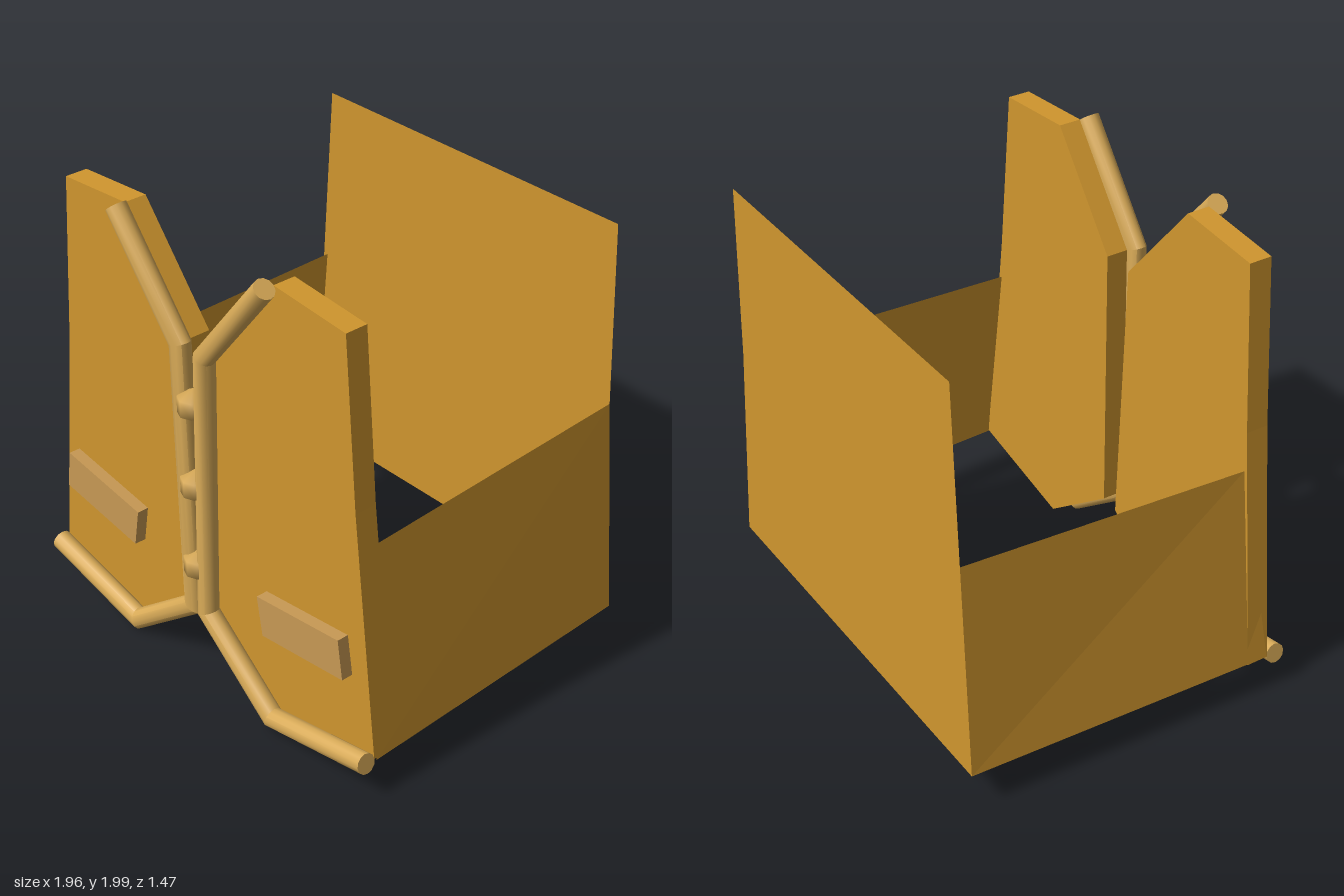
import * as THREE from 'three';
import { toCreasedNormals } from 'three/addons/utils/BufferGeometryUtils.js';

const cloth = new THREE.MeshStandardMaterial({ color: 0xd0962e, side: THREE.DoubleSide });
cloth.name = 'ochre cloth';
const trim = new THREE.MeshStandardMaterial({ color: 0xd8aa57 });
trim.name = 'pale gold trim';
const flap = new THREE.MeshStandardMaterial({ color: 0xc89954 });
flap.name = 'dusty tan flap';

function part(name, geometry, material) {
  const mesh = new THREE.Mesh(geometry, material);
  mesh.name = name;
  return mesh;
}

// Outline in x/y, extruded from z0 to z1
function slab(points, z0, z1) {
  const shape = new THREE.Shape(points.map(([x, y]) => new THREE.Vector2(x, y)));
  return new THREE.ExtrudeGeometry(shape, { depth: z1 - z0, bevelEnabled: false }).translate(0, 0, z0);
}

// Thin flat sheet as a fan of its corners
function sheet(corners) {
  const pos = [];
  for (let i = 1; i < corners.length - 1; i++) pos.push(...corners[0], ...corners[i], ...corners[i + 1]);
  const g = new THREE.BufferGeometry();
  g.setAttribute('position', new THREE.Float32BufferAttribute(pos, 3));
  g.computeVertexNormals();
  return g;
}

// Round cord with mitred corners along a path in the x/y plane
function cord(path, z, r, sides = 12) {
  const pts = path.map(([x, y]) => new THREE.Vector2(x, y));
  const n = pts.length, pos = [], idx = [];
  pts.forEach((p, i) => {
    const a = p.clone().sub(pts[Math.max(i - 1, 0)]).normalize();
    const b = pts[Math.min(i + 1, n - 1)].clone().sub(p).normalize();
    const dir = a.clone().add(b).normalize();
    const mitre = 1 / Math.max(dir.dot(i < n - 1 ? b : a), 0.5);
    for (let k = 0; k < sides; k++) {
      const t = (k / sides) * Math.PI * 2, c = Math.cos(t) * r * mitre;
      pos.push(p.x - dir.y * c, p.y + dir.x * c, z + Math.sin(t) * r);
    }
  });
  for (let i = 0; i < n - 1; i++) {
    for (let k = 0; k < sides; k++) {
      const a = i * sides + k, b = i * sides + (k + 1) % sides;
      idx.push(a, b, a + sides, b, b + sides, a + sides);
    }
  }
  // End caps
  const last = (n - 1) * sides;
  for (let k = 1; k < sides - 1; k++) idx.push(0, k + 1, k, last, last + k, last + k + 1);
  const g = new THREE.BufferGeometry();
  g.setAttribute('position', new THREE.Float32BufferAttribute(pos, 3));
  g.setIndex(idx);
  return toCreasedNormals(g, 0.6);
}

export function createModel() {
  const model = new THREE.Group();
  model.name = 'waistcoat';

  // Front edges differ slightly from side to side
  const edges = {
    left: [[0.425, 1.97], [0.075, 1.54], [0.045, 0.36], [0.43, 0.06], [0.97, 0.175]],
    right: [[-0.425, 1.97], [-0.068, 1.54], [-0.038, 0.35], [-0.425, 0.052], [-0.97, 0.165]],
  };

  for (const [side, s] of [['left', 1], ['right', -1]]) {
    const mirror = (pts) => pts.map(([x, ...rest]) => [x * s, ...rest]);

    // Front panel and the cord along its edge
    const outline = [...edges[side], ...mirror([[0.855, 1.23], [0.8, 1.94]])];
    model.add(part(side + 'FrontPanel', slab(outline, 0.531, 0.628), cloth));
    model.add(part(side + 'EdgeCord', cord(edges[side], 0.669, 0.043), trim));

    // Slanted pocket flap
    const pocket = mirror([[0.37, 0.625], [0.83, 0.685], [0.855, 0.515], [0.4, 0.455]]);
    model.add(part(side + 'PocketFlap', slab(pocket, 0.638, 0.688), flap));

    // Side panel below the armhole
    const flank = mirror([[0.975, 0.17, 0.622], [0.915, 0.17, -0.735], [0.83, 1.11, -0.735], [0.857, 1.055, 0.531]]);
    if (s < 0) flank.reverse();
    model.add(part(side + 'SidePanel', sheet(flank), cloth));
  }

  // Back panel
  model.add(part('backPanel', sheet([
    [-0.915, 0.17, -0.735], [-0.83, 1.11, -0.735], [-0.8, 1.885, -0.735],
    [0.8, 1.885, -0.735], [0.83, 1.11, -0.735], [0.915, 0.17, -0.735],
  ]), cloth));

  // Buttons
  for (const y of [1.305, 0.943, 0.57]) {
    const button = part('button', new THREE.SphereGeometry(0.07, 8, 3), trim);
    button.position.set(0, y, 0.673);
    model.add(button);
  }
  return model;
}
